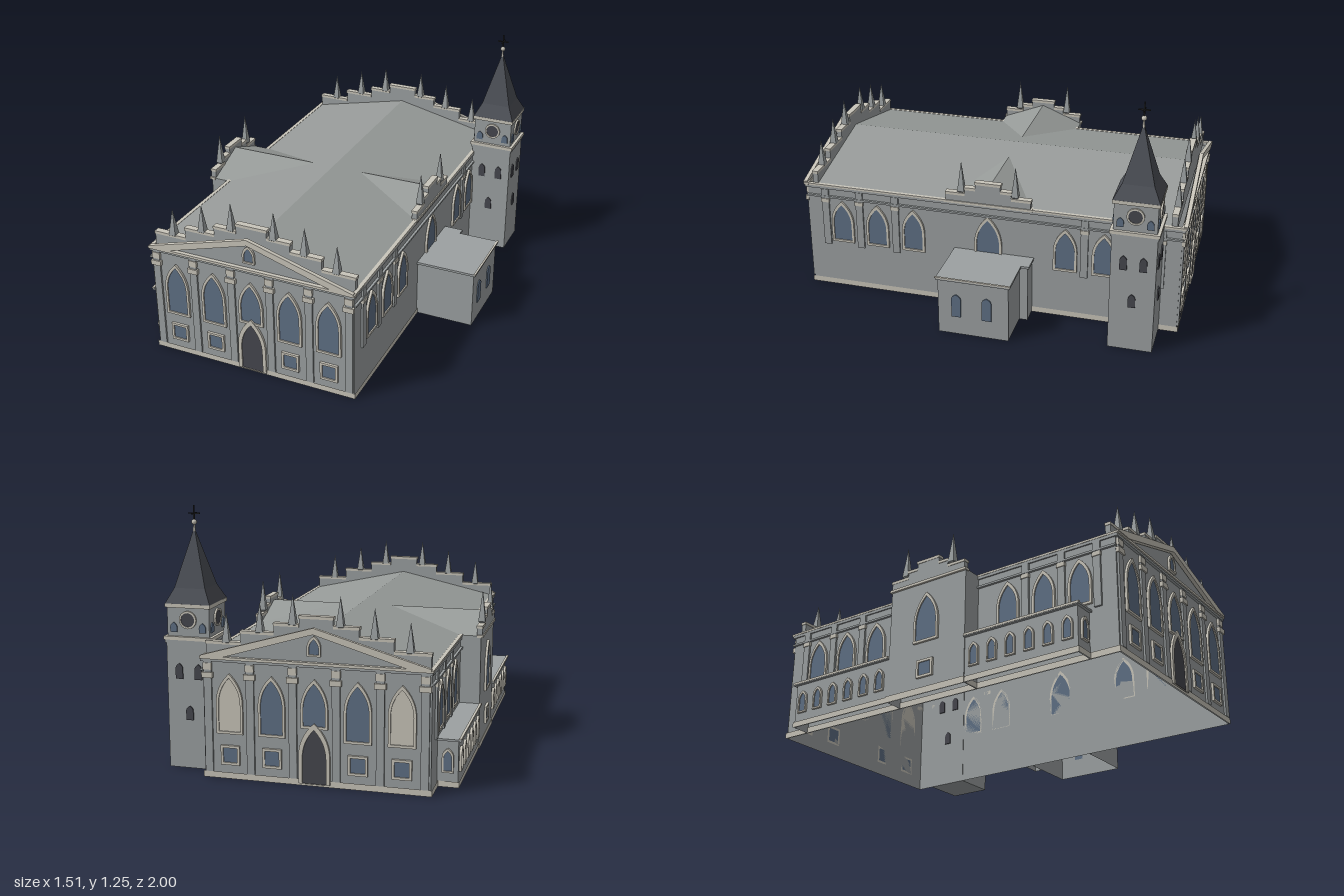
import * as THREE from 'three';

const mat = (name, color, side = THREE.FrontSide) => {
  const m = new THREE.MeshStandardMaterial({ color, side });
  m.name = name;
  return m;
};
const M = {
  wall: mat('wall stone', 0x9ca1a2, THREE.DoubleSide),
  roof: mat('roof sheet', 0x979b99, THREE.DoubleSide),
  trim: mat('pale trim', 0xc9c5ba),
  glass: mat('window glass', 0x5f7085),
  dark: mat('dark openings', 0x46474e),
  slate: mat('spire slate', 0x4c4f56),
  iron: mat('iron', 0x26272a),
};

function add(parent, name, geo, material, x = 0, y = 0, z = 0) {
  const m = new THREE.Mesh(geo, material);
  m.name = name;
  m.position.set(x, y, z);
  parent.add(m);
  return m;
}
// Box given by its minimum and maximum on each axis
function box(parent, name, material, x0, x1, y0, y1, z0, z1) {
  return add(parent, name, new THREE.BoxGeometry(x1 - x0, y1 - y0, z1 - z0), material,
    (x0 + x1) / 2, (y0 + y1) / 2, (z0 + z1) / 2);
}
function group(parent, name, x = 0, y = 0, z = 0, turn = 0) {
  const g = new THREE.Group();
  g.name = name;
  g.position.set(x, y, z);
  g.rotation.y = turn;
  parent.add(g);
  return g;
}
// Flat faces from corner lists (triangles or quads)
function faces(list) {
  const p = [];
  for (const f of list) for (let i = 1; i < f.length - 1; i++) p.push(...f[0], ...f[i], ...f[i + 1]);
  const g = new THREE.BufferGeometry();
  g.setAttribute('position', new THREE.Float32BufferAttribute(p, 3));
  g.computeVertexNormals();
  return g;
}
// Four walls without floor or lid
function shell(x0, x1, z0, z1, y0, y1) {
  const c = [[x0, z1], [x1, z1], [x1, z0], [x0, z0]];
  return faces(c.map(([x, z], i) => {
    const [u, v] = c[(i + 1) % 4];
    return [[x, y0, z], [u, y0, v], [u, y1, v], [x, y1, z]];
  }));
}
const extrude = (shape, depth) =>
  new THREE.ExtrudeGeometry(shape, { depth, bevelEnabled: false, curveSegments: 8 });
const poly = (pts) => new THREE.Shape(pts.map(([x, y]) => new THREE.Vector2(x, y)));

// Pointed arch outline; rise 0 gives a rectangle
function arch(w, y0, y1, rise) {
  const s = new THREE.Shape(), h = w / 2, sp = y1 - rise;
  s.moveTo(-h, y0).lineTo(h, y0).lineTo(h, sp);
  if (rise) {
    s.quadraticCurveTo(h, sp + rise * 0.58, 0, y1);
    s.quadraticCurveTo(-h, sp + rise * 0.58, -h, sp);
  } else s.lineTo(-h, y1);
  return s;
}
// Window on a wall facing local +z: thin pane inside a raised frame
function opening(parent, name, x, w, y0, y1, rise, { pane = M.glass, frame = 0.012, sill = frame, z = 0 } = {}) {
  add(parent, name + ' pane', extrude(arch(w, y0, y1, rise), 0.006), pane, x, 0, z);
  if (!frame) return;
  const s = arch(w + 2 * frame, y0 - sill, y1 + frame * (rise ? 1.7 : 1), rise ? rise * 1.15 : 0);
  s.holes.push(arch(w, y0, y1, rise));
  add(parent, name + ' frame', extrude(s, 0.012), M.trim, x, 0, z);
}
// Four-sided pinnacle standing on its step
function pinnacle(parent, x, y, z, h) {
  const g = new THREE.LatheGeometry([[0.009, -0.05], [0.012, -0.01], [0.025, 0], [0.022, 0.02], [0, h]]
    .map(([r, t]) => new THREE.Vector2(r, t)), 4).toNonIndexed();
  g.rotateY(Math.PI / 4);
  g.computeVertexNormals();
  add(parent, 'pinnacle', g, M.wall, x, y, z);
}
// Stepped parapet: steps are [half width, top], outermost first
function parapet(parent, base, steps, z, depth) {
  const right = [];
  steps.forEach(([h, t], i) => right.push([h, i ? steps[i - 1][1] : base], [h, t]));
  const pts = [...right, ...right.map(([x, y]) => [-x, y]).reverse()];
  add(parent, 'stepped parapet', extrude(poly(pts), depth), M.wall, 0, 0, z);
  steps.forEach(([h, t], i) => {
    const inner = i + 1 < steps.length ? steps[i + 1][0] : 0;
    for (const s of [-1, 1]) {
      const a = s * inner, b = s * (h + 0.003);
      box(parent, 'parapet coping', M.trim, Math.min(a, b), Math.max(a, b), t - 0.01, t + 0.004, z - 0.002, z + depth + 0.002);
    }
  });
}
function pilaster(parent, x, y0) {
  box(parent, 'pilaster', M.wall, x - 0.019, x + 0.019, y0, 0.56, 0, 0.01);
}

// Gabled end, local origin at the middle of its foot
function facade(parent, name, z, turn, blind) {
  const g = group(parent, name, -0.1, 0, z, turn);
  for (let i = 0; i < 6; i++) {
    const x = (i - 2.5) * 0.205;
    pilaster(g, x, 0.03);
    box(g, 'capital', M.trim, x - 0.027, x + 0.027, 0.482, 0.508, 0, 0.017);
    box(g, 'upper capital', M.trim, x - 0.021, x + 0.021, 0.52, 0.552, 0, 0.013);
  }
  for (let i = -2; i <= 2; i++) {
    const x = i * 0.204;
    const pane = blind && Math.abs(i) === 2 ? M.trim : M.glass;
    opening(g, 'tall window', x, 0.105, i ? 0.23 : 0.285, 0.485, 0.125, { pane });
    if (i) opening(g, 'lower window', x, 0.068, 0.08, 0.15, 0);
  }
  opening(g, 'door', 0, 0.113, 0.012, 0.27, 0.14, { pane: M.dark, frame: 0.018, sill: 0, z: 0.004 });
  // Pediment with raking cornice
  box(g, 'cornice', M.wall, -0.545, 0.545, 0.56, 0.572, -0.005, 0.014);
  box(g, 'cornice edge', M.trim, -0.547, 0.547, 0.572, 0.585, -0.005, 0.02);
  add(g, 'pediment', faces([[[-0.54, 0.58, 0], [0.54, 0.58, 0], [0, 0.735, 0]]]), M.wall);
  add(g, 'raking cornice', extrude(poly([[-0.54, 0.58], [-0.45, 0.58], [0, 0.715], [0.45, 0.58],
    [0.54, 0.58], [0.54, 0.59], [0, 0.745], [-0.54, 0.59]]), 0.02), M.trim, 0, 0, 0.004);
  opening(g, 'pediment window', 0, 0.046, 0.62, 0.69, 0.045, { frame: 0.009 });
  parapet(g, 0.57, [[0.53, 0.645], [0.36, 0.7], [0.2, 0.745], [0.08, 0.785]], -0.055, 0.028);
  for (const [x, y] of [[0.433, 0.645], [0.27, 0.7], [0.112, 0.745]])
    for (const s of [-1, 1]) pinnacle(g, s * x, y, -0.041, 0.138);
}

// Long side wall, local x runs along the wall
function sideWall(parent, name, x, turn) {
  const g = group(parent, name, x, 0, 0, turn);
  for (const s of [-1, 1]) {
    for (const p of [0.79, 0.597, 0.4]) opening(g, 'side window', s * p, 0.098, 0.275, 0.478, 0.11);
    for (const p of [0.88, 0.693, 0.497]) {
      pilaster(g, s * p, 0.24);
      box(g, 'side capital', M.trim, s * p - 0.022, s * p + 0.022, 0.487, 0.507, 0, 0.014);
    }
  }
  box(g, 'side moulding', M.wall, -0.98, 0.98, 0.512, 0.522, 0, 0.012);
  box(g, 'side cornice', M.wall, -0.985, 0.985, 0.56, 0.574, -0.01, 0.007);
  box(g, 'side cornice edge', M.trim, -0.995, 0.995, 0.574, 0.584, -0.01, 0.009);
}

// Cross gable front with parapet
function transeptFront(parent, name, x, turn, lowerWindow) {
  const g = group(parent, name, x, 0, 0, turn);
  opening(g, 'transept window', 0, 0.12, 0.27, 0.495, 0.14);
  if (lowerWindow) opening(g, 'transept lower window', 0, 0.07, 0.09, 0.155, 0);
  box(g, 'transept cornice', M.trim, -0.23, 0.23, 0.572, 0.585, -0.02, 0.011);
  parapet(g, 0.58, [[0.22, 0.627], [0.12, 0.66], [0.065, 0.695]], -0.022, 0.028);
  for (const s of [-1, 1]) pinnacle(g, s * 0.14, 0.64, -0.008, 0.16);
}

function tower(parent) {
  const g = group(parent, 'bell tower', 0.545, 0, -0.775);
  const block = (name, m, w, y0, y1) => box(g, name, m, -w / 2, w / 2, y0, y1, -w / 2, w / 2);
  block('tower shaft', M.wall, 0.22, 0, 0.62);
  block('tower cornice', M.wall, 0.23, 0.612, 0.628);
  block('tower cornice edge', M.trim, 0.24, 0.628, 0.645);
  block('belfry', M.wall, 0.21, 0.645, 0.785);
  block('belfry cornice', M.trim, 0.226, 0.782, 0.8);
  for (let i = 0; i < 4; i++) {
    const f = group(g, 'tower side', 0, 0, 0, i * Math.PI / 2);
    for (const s of [-1, 1]) {
      opening(f, 'tower window', s * 0.048, 0.036, 0.44, 0.515, 0.026, { pane: M.dark, frame: 0, z: 0.11 });
      opening(f, 'belfry window', s * 0.072, 0.034, 0.665, 0.712, 0.025, { frame: 0, z: 0.105 });
    }
    opening(f, 'lower tower window', 0, 0.036, 0.24, 0.31, 0.026, { pane: M.dark, frame: 0, z: 0.11 });
    const ring = new THREE.Shape().absarc(0, 0, 0.043, 0, Math.PI * 2);
    ring.holes.push(new THREE.Path().absarc(0, 0, 0.034, 0, Math.PI * 2));
    add(f, 'clock ring', extrude(ring, 0.009), M.trim, 0, 0.725, 0.105);
    add(f, 'clock face', new THREE.CircleGeometry(0.035, 24), M.dark, 0, 0.725, 0.11);
  }
  // Flared spire, ball and cross
  const d = Math.SQRT2;
  const spire = new THREE.LatheGeometry([[0, 0.8], [0.112, 0.8], [0.077, 0.87], [0.003, 1.14]]
    .map(([r, y]) => new THREE.Vector2(r * d, y)), 4).toNonIndexed();
  spire.rotateY(Math.PI / 4);
  spire.computeVertexNormals();
  add(g, 'spire', spire, M.slate);
  add(g, 'finial stem', new THREE.CylinderGeometry(0.004, 0.007, 0.04, 8), M.trim, 0, 1.15, 0);
  add(g, 'finial ball', new THREE.SphereGeometry(0.013, 12, 8), M.trim, 0, 1.175, 0);
  box(g, 'cross post', M.iron, -0.003, 0.003, 1.18, 1.255, -0.003, 0.003);
  box(g, 'cross arm', M.iron, -0.029, 0.029, 1.213, 1.219, -0.003, 0.003);
  box(g, 'cross arm across', M.iron, -0.003, 0.003, 1.213, 1.219, -0.029, 0.029);
}

export function createModel() {
  const root = new THREE.Group();
  root.name = 'church';
  const Q = Math.PI / 2;

  // Walls, open below
  add(root, 'nave walls', shell(-0.64, 0.437, -0.975, 0.975, 0, 0.58), M.wall);
  add(root, 'left transept walls', shell(-0.742, -0.64, -0.225, 0.225, 0, 0.58), M.wall);
  add(root, 'aisle walls', shell(-0.738, -0.64, -0.83, 0.83, 0, 0.225), M.wall);
  add(root, 'nave plinth', shell(-0.646, 0.443, -0.982, 0.982, 0, 0.03), M.trim);
  add(root, 'aisle plinth', shell(-0.744, -0.64, -0.836, 0.836, 0, 0.028), M.trim);
  add(root, 'transept plinth', shell(-0.748, -0.64, -0.23, 0.23, 0, 0.03), M.trim);

  facade(root, 'front facade', 0.975, 0, false);
  facade(root, 'back facade', -0.975, Math.PI, true);
  sideWall(root, 'right side', 0.437, Q);
  sideWall(root, 'left side', -0.64, -Q);
  transeptFront(root, 'right transept', 0.437, Q, false);
  transeptFront(root, 'left transept', -0.742, -Q, true);

  // Main roof and cross-gable roofs
  const e = 0.58, r = 0.7, c = 0.67, L = 0.925;
  add(root, 'main roof', faces([
    [[-0.64, e, -L], [-0.64, e, L], [-0.1, r, L], [-0.1, r, -L]],
    [[0.44, e, L], [0.44, e, -L], [-0.1, r, -L], [-0.1, r, L]]]), M.roof);
  for (const [tip, valley, end, s] of [[-0.235, -0.64, -0.735, -1], [0.035, 0.44, 0.43, 1]]) {
    const f = [];
    for (const k of [1, -1]) {
      const q = [[tip, c, 0], [valley, e, k * 0.225], [end, e, k * 0.225], [end, c, 0]];
      f.push(s * k > 0 ? q : q.reverse());
    }
    add(root, 'transept roof', faces(f), M.roof);
  }

  // Low aisle with a row of small windows on each half
  for (const s of [-1, 1]) {
    const z0 = s > 0 ? 0.225 : -0.845, z1 = s > 0 ? 0.845 : -0.225;
    box(root, 'aisle roof', M.wall, -0.752, -0.64, 0.222, 0.232, z0, z1);
    box(root, 'aisle cornice edge', M.trim, -0.754, -0.742, 0.226, 0.237, z0, z1);
    const end = group(root, 'aisle end', -0.69, 0, s * 0.83, s > 0 ? 0 : Math.PI);
    opening(end, 'aisle end window', 0, 0.038, 0.078, 0.172, 0.035, { frame: 0.008 });
  }
  const aisle = group(root, 'aisle windows', -0.738, 0, 0, -Q);
  for (const s of [-1, 1])
    for (let i = 0; i < 6; i++)
      opening(aisle, 'aisle window', s * (0.28 + i * 0.1), 0.038, 0.078, 0.172, 0.035, { frame: 0.008 });

  // Vestry on the right side
  add(root, 'vestry walls', shell(0.437, 0.742, -0.188, 0.172, 0, 0.305), M.wall);
  add(root, 'vestry lobby', shell(0.437, 0.53, -0.23, -0.188, 0, 0.305), M.wall);
  box(root, 'vestry roof', M.wall, 0.437, 0.752, 0.3, 0.312, -0.197, 0.181);
  box(root, 'lobby roof', M.wall, 0.437, 0.537, 0.3, 0.312, -0.238, -0.197);
  box(root, 'vestry cornice edge', M.trim, 0.745, 0.755, 0.309, 0.316, -0.2, 0.184);
  const vestry = group(root, 'vestry windows', 0.742, 0, 0, Q);
  for (const z of [-0.078, 0.078])
    opening(vestry, 'vestry window', z, 0.048, 0.1, 0.225, 0.025, { frame: 0 });

  tower(root);
  return root;
}
